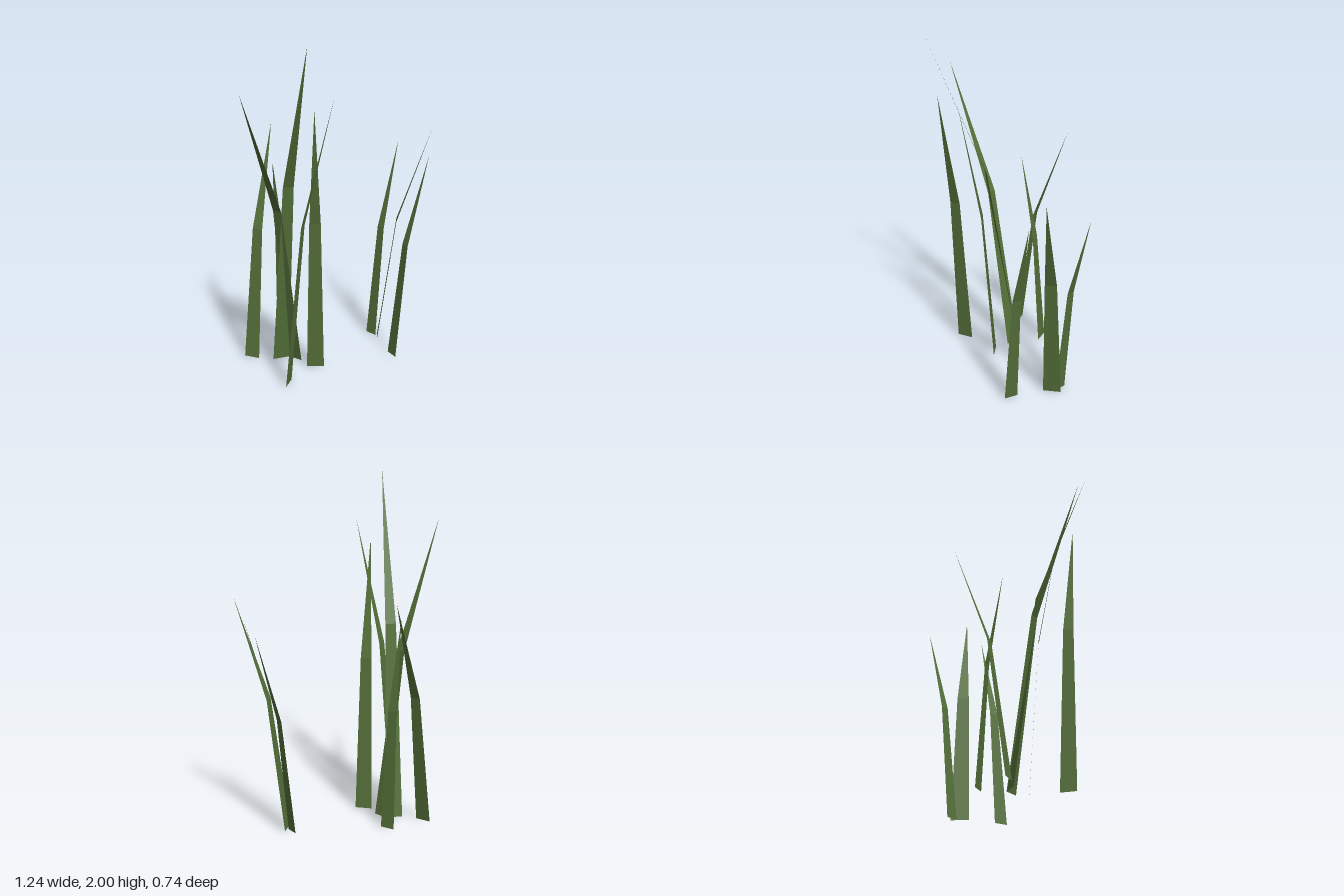
import * as THREE from 'three';

// [base x, base z, tip x, tip z, height, base width]
const BLADES = [
  [-0.33, -0.25, -0.035, -0.376, 1.37, 0.092],
  [-0.087, -0.23, -0.214, -0.173, 1.22, 0.086],
  [-0.158, -0.057, -0.62, 0.027, 1.73, 0.088],
  [-0.214, -0.12, -0.424, 0.33, 2.0, 0.097],
  [-0.39, 0.133, -0.269, 0.368, 1.71, 0.093],
  [-0.14, 0.095, -0.277, 0.23, 1.62, 0.099],
  [0.397, 0.036, 0.618, 0.028, 1.2, 0.073],
  [0.393, 0.092, 0.591, 0.317, 1.36, 0.104],
  [0.285, 0.31, 0.508, 0.363, 1.21, 0.08],
];

// Cross-sections along a blade: fraction of height, of lean and of width
const SECTIONS = [[0, 0, 1], [0.57, 0.34, 0.65]];

// A flat tapering blade, bent once, its width square to its lean
function bladeGeometry([bx, bz, tx, tz, height, width]) {
  const dx = tx - bx, dz = tz - bz, length = Math.hypot(dx, dz);
  const wx = (-dz / length) * width / 2, wz = (dx / length) * width / 2;
  const points = [];
  for (const [h, lean, w] of SECTIONS) {
    for (const side of [-1, 1]) {
      points.push(bx + dx * lean + side * wx * w, height * h, bz + dz * lean + side * wz * w);
    }
  }
  points.push(tx, height, tz);
  const geometry = new THREE.BufferGeometry();
  geometry.setAttribute('position', new THREE.Float32BufferAttribute(points, 3));
  geometry.setIndex([0, 1, 3, 0, 3, 2, 2, 3, 4]);
  geometry.computeVertexNormals();
  return geometry;
}

export function createModel() {
  const group = new THREE.Group();
  group.name = 'grassTuft';
  const green = new THREE.MeshStandardMaterial({
    color: 0x55703a, flatShading: true, side: THREE.DoubleSide,
  });
  green.name = 'grass green';
  BLADES.forEach((blade, i) => {
    const mesh = new THREE.Mesh(bladeGeometry(blade), green);
    mesh.name = `grassBlade${i + 1}`;
    group.add(mesh);
  });
  return group;
}
